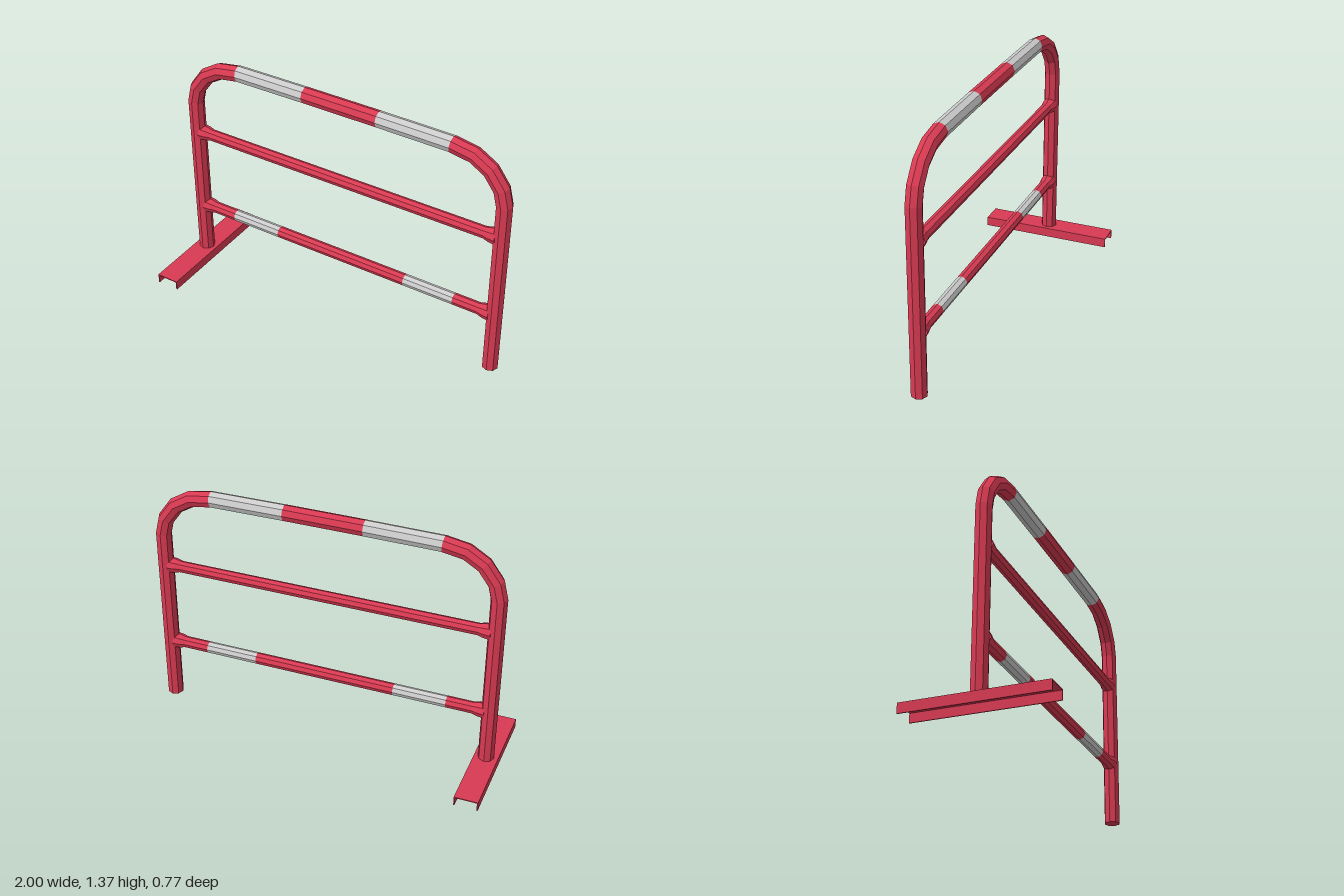
import * as THREE from 'three';

const red = new THREE.MeshStandardMaterial({ color: 0xd83a52, flatShading: true });
const grey = new THREE.MeshStandardMaterial({ color: 0xcccccc, flatShading: true });
const SIDES = 8;
const CX = 0.01; // middle of the hoop, between the two legs

// Mitred octagonal rings along a path of [x, y, radius] in the xy plane
function makeRings(path) {
  const pts = path.map(([x, y]) => new THREE.Vector2(x, y));
  return path.map(([x, y, r], i) => {
    const before = pts[i].clone().sub(pts[Math.max(i - 1, 0)]).normalize();
    const after = pts[Math.min(i + 1, pts.length - 1)].clone().sub(pts[i]).normalize();
    const t = before.clone().add(after).normalize();
    const miter = 1 / t.dot(after.lengthSq() > 0 ? after : before);
    const ring = [];
    for (let k = 0; k < SIDES; k++) {
      const a = (k / SIDES) * Math.PI * 2;
      const n = Math.cos(a) * r * miter;
      ring.push([x - t.y * n, y + t.x * n, Math.sin(a) * r]);
    }
    return { ring, centre: [x, y, 0] };
  });
}

// Skin the rings from index a to b; path ends are closed with caps
function tubeSection(rings, a, b, material, name) {
  const pos = [];
  for (let k = 0; k < SIDES; k++) {
    const m = (k + 1) % SIDES;
    for (let i = a; i < b; i++) {
      const p = rings[i].ring, q = rings[i + 1].ring;
      pos.push(...p[k], ...p[m], ...q[m], ...p[k], ...q[m], ...q[k]);
    }
    if (a === 0) pos.push(...rings[a].centre, ...rings[a].ring[m], ...rings[a].ring[k]);
    if (b === rings.length - 1) pos.push(...rings[b].centre, ...rings[b].ring[k], ...rings[b].ring[m]);
  }
  const geo = new THREE.BufferGeometry();
  geo.setAttribute('position', new THREE.Float32BufferAttribute(pos, 3));
  geo.computeVertexNormals();
  const mesh = new THREE.Mesh(geo, material);
  mesh.name = name;
  return mesh;
}

// Mirror a half path (outside to middle) into a full path from -x to +x
function mirrored(half) {
  return [
    ...half.map(([x, y, r]) => [CX - x, y, r]),
    ...half.slice().reverse().map(([x, y, r]) => [CX + x, y, r]),
  ];
}

function createHoop() {
  const group = new THREE.Group();
  group.name = 'hoop';
  const R = 0.045;
  const path = mirrored([
    [0.943, 0, R], [0.943, 1.06, R], [0.921, 1.15, R], [0.855, 1.24, R],
    [0.762, 1.296, R], [0.64, 1.317, R], [0.222, 1.32, R],
  ]);
  path[0][1] = 0.052; // this leg stands on the foot
  const rings = makeRings(path);
  group.add(
    tubeSection(rings, 0, 5, red, 'rightLegAndBend'),
    tubeSection(rings, 5, 6, grey, 'rightTopStripe'),
    tubeSection(rings, 6, 7, red, 'topMiddle'),
    tubeSection(rings, 7, 8, grey, 'leftTopStripe'),
    tubeSection(rings, 8, 13, red, 'leftLegAndBend'),
  );
  return group;
}

// Cross rail with flared ends; optional grey stripes
function createRail(y, striped, name) {
  const group = new THREE.Group();
  group.name = name;
  const r = 0.033;
  const half = [[0.92, y, 0.045], [0.88, y, 0.041], [0.85, y, r]];
  if (striped) half.push([0.705, y, r], [0.405, y, r]);
  const rings = makeRings(mirrored(half));
  if (striped) {
    group.add(
      tubeSection(rings, 0, 3, red, 'rightRailEnd'),
      tubeSection(rings, 3, 4, grey, 'rightRailStripe'),
      tubeSection(rings, 4, 5, red, 'railMiddle'),
      tubeSection(rings, 5, 6, grey, 'leftRailStripe'),
      tubeSection(rings, 6, 9, red, 'leftRailEnd'),
    );
  } else {
    group.add(tubeSection(rings, 0, 5, red, 'railBar'));
  }
  return group;
}

// Foot: a channel open downwards, under the right leg only
function createFoot() {
  const w = 0.066, h = 0.055, t = 0.006, depth = 0.77;
  const shape = new THREE.Shape([
    [-w, 0], [-w + t, 0], [-w + t, h - t], [w - t, h - t],
    [w - t, 0], [w, 0], [w, h], [-w, h],
  ].map(([x, y]) => new THREE.Vector2(x, y)));
  const geo = new THREE.ExtrudeGeometry(shape, { depth, bevelEnabled: false });
  geo.translate(-1 + w, 0, -depth / 2);
  const mesh = new THREE.Mesh(geo, red);
  mesh.name = 'foot';
  return mesh;
}

export function createModel() {
  const model = new THREE.Group();
  model.name = 'barrier';
  model.add(
    createHoop(),
    createRail(0.86, false, 'upperRail'),
    createRail(0.361, true, 'lowerRail'),
    createFoot(),
  );
  return model;
}
